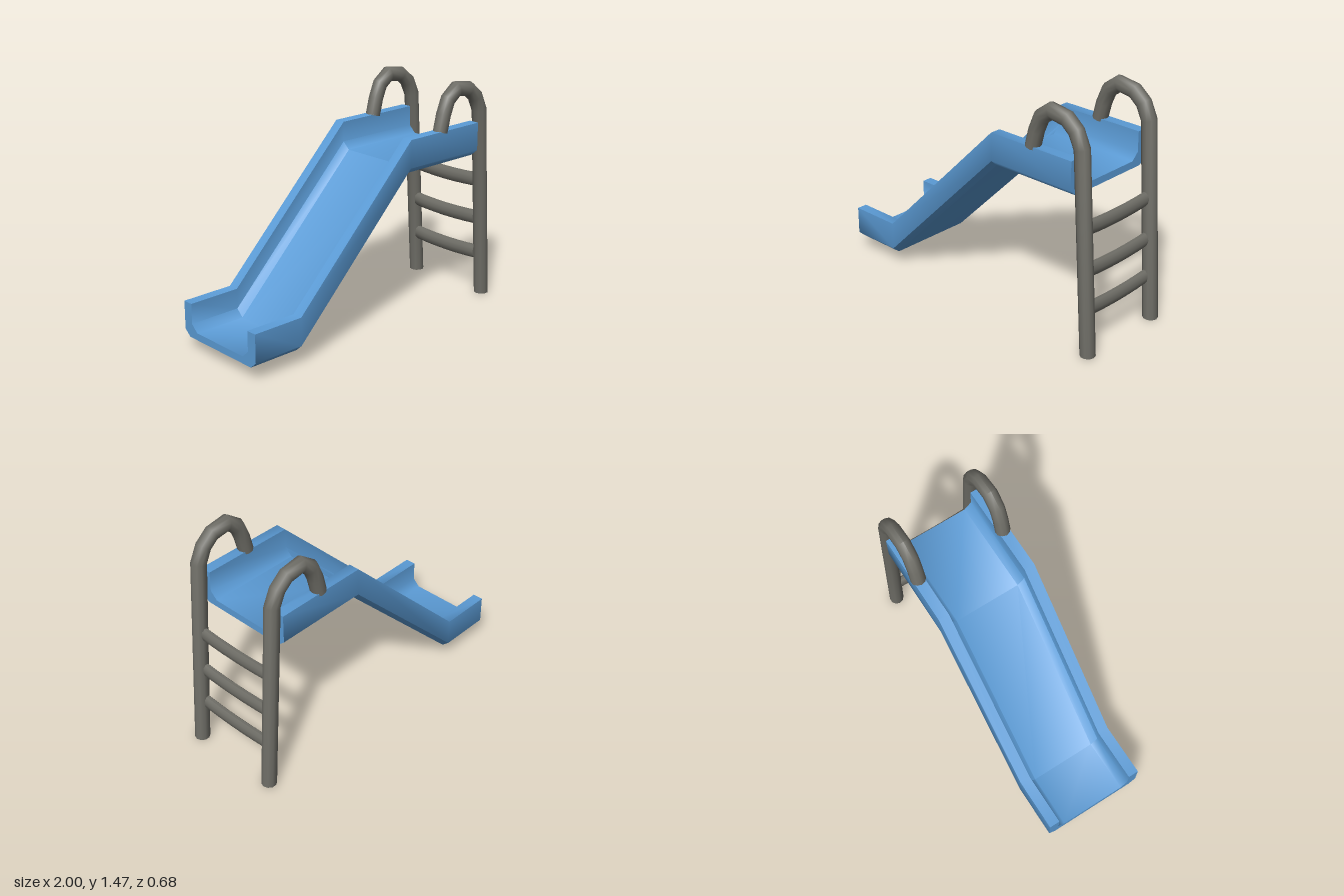
import * as THREE from 'three';
import { toCreasedNormals } from 'three/addons/utils/BufferGeometryUtils.js';

// Skins a row of equal rings (counter-clockwise seen from the far end) and caps both ends.
function loft(rings, profile) {
  const n = profile.length, index = [];
  for (let r = 0; r < rings.length - 1; r++) {
    for (let i = 0; i < n; i++) {
      const j = (i + 1) % n;
      const a = r * n + i, b = r * n + j, c = b + n, d = a + n;
      index.push(a, b, c, a, c, d);
    }
  }
  const last = (rings.length - 1) * n;
  for (const [a, b, c] of THREE.ShapeUtils.triangulateShape(profile, [])) {
    index.push(last + a, last + b, last + c, c, b, a);
  }
  const geometry = new THREE.BufferGeometry();
  geometry.setAttribute('position', new THREE.Float32BufferAttribute(rings.flat(2), 3));
  geometry.setIndex(index);
  return toCreasedNormals(geometry, 0.9);
}

function ellipse(rx, ry, sides) {
  return Array.from({ length: sides }, (_, i) => {
    const t = (i / sides) * Math.PI * 2;
    return new THREE.Vector2(rx * Math.cos(t), ry * Math.sin(t));
  });
}

// Trough section (height, z) sheared along the slide's side outline
function chuteGeometry() {
  const half = [[0, -0.285], [0.04, -0.33], [0.218, -0.33], [0.218, -0.262], [0.09, -0.262], [0.045, -0.215]];
  const mirrored = half.map(([y, z]) => [y, -z]).reverse();
  const profile = [...half, ...mirrored].map(([y, z]) => new THREE.Vector2(y, z));
  const path = [[-1, 0.083], [-0.66, 0.083], [0.225, 0.968], [0.825, 0.968]];
  const rings = path.map(([x, y]) => profile.map((p) => [x, y + p.x, p.y]));
  return loft(rings, profile);
}

// Leg that bends over into a handle, with mitred joints
function railGeometry() {
  const path = [[0.953, 0], [0.87, 1.26], [0.827, 1.352], [0.76, 1.408],
    [0.65, 1.425], [0.577, 1.37], [0.54, 1.28], [0.514, 1.175]].map(([x, y]) => new THREE.Vector2(x, y));
  const profile = ellipse(0.047, 0.047, 10);
  const rings = path.map((p, k) => {
    const before = p.clone().sub(path[Math.max(k - 1, 0)]).normalize();
    const after = path[Math.min(k + 1, path.length - 1)].clone().sub(p).normalize();
    const t = before.clone().add(after).normalize();
    const mitre = 1 / Math.max(t.dot(k ? before : after), 0.5);
    // Level the foot on the ground
    if (k === 0) t.set(0, 1);
    return profile.map((q) => [p.x + t.y * q.x * mitre, p.y - t.x * q.x * mitre, -q.y]);
  });
  return loft(rings, profile);
}

// Flattened step that sags a little in the middle
function rungGeometry() {
  const profile = ellipse(0.028, 0.046, 10);
  const rings = [];
  for (let k = 0; k <= 6; k++) {
    const s = k / 3 - 1;
    rings.push(profile.map((q) => [q.x, q.y + 0.011 * s * s, s * 0.26]));
  }
  return loft(rings, profile);
}

export function createModel() {
  const blue = new THREE.MeshStandardMaterial({ color: 0x5b9bd5 });
  blue.name = 'slideBlue';
  const grey = new THREE.MeshStandardMaterial({ color: 0x6e6d66 });
  grey.name = 'railGrey';

  const model = new THREE.Group();
  model.name = 'playgroundSlide';
  const add = (name, geometry, material, x = 0, y = 0, z = 0) => {
    const mesh = new THREE.Mesh(geometry, material);
    mesh.name = name;
    mesh.position.set(x, y, z);
    model.add(mesh);
  };

  add('chute', chuteGeometry(), blue);

  const rail = railGeometry();
  add('frontRail', rail, grey, 0, 0, 0.295);
  add('backRail', rail, grey, 0, 0, -0.295);

  // Ladder steps follow the lean of the legs
  const rung = rungGeometry();
  [0.272, 0.515, 0.775].forEach((y, i) => {
    add('rung' + (i + 1), rung, grey, 0.937 - 0.05 * y, y, 0);
  });
  return model;
}
